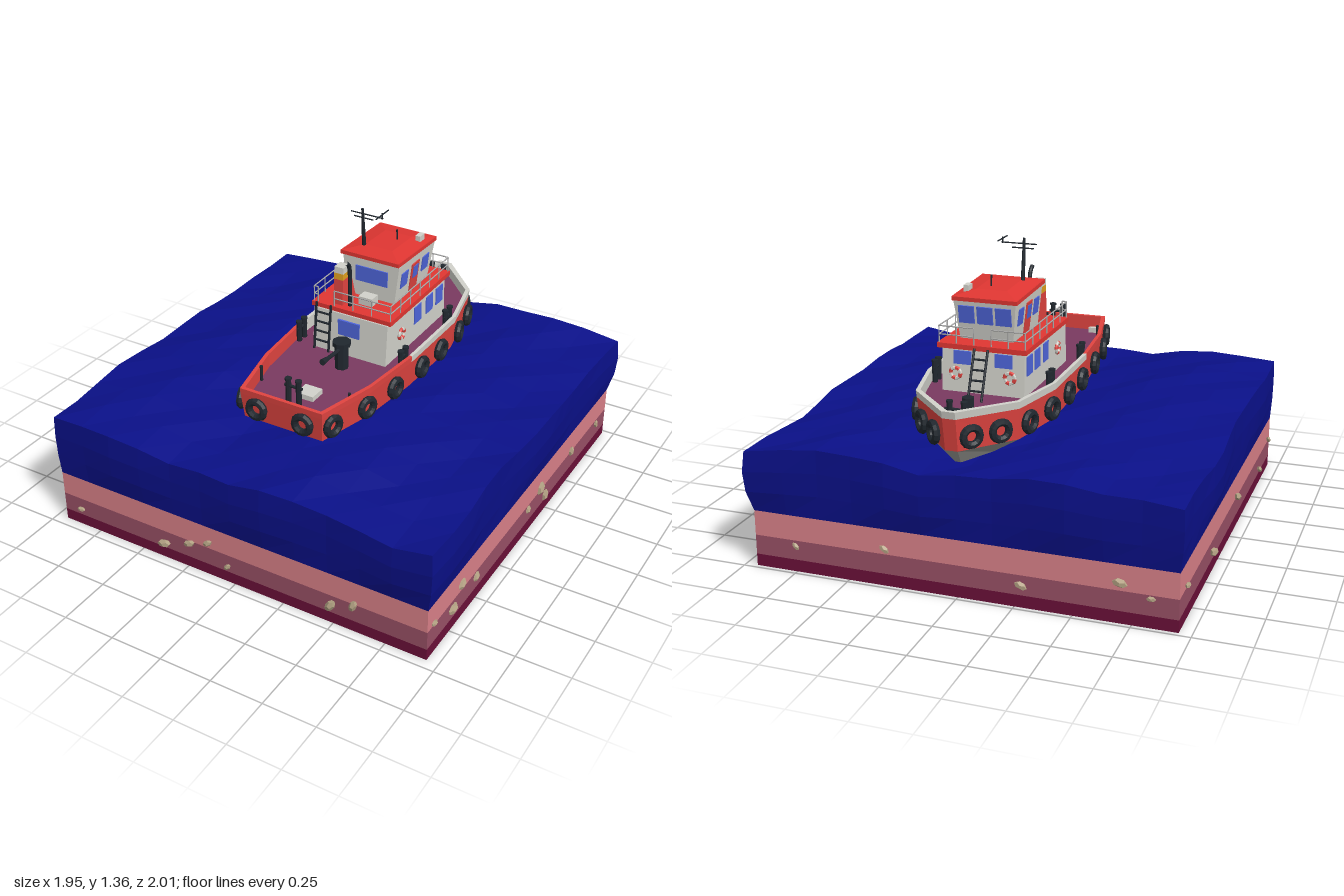
import * as THREE from 'three';

const mat = (color) => new THREE.MeshStandardMaterial({ color, flatShading: true });
const M = {
  water: mat(0x0a1088), sand: mat(0xd98088), clay: mat(0x985065), bed: mat(0x6a1038), rock: mat(0xb3a283),
  red: mat(0xe04440), roof: mat(0xe03632), white: mat(0xd2d2cb), hull: mat(0x9a9a94), deck: mat(0x7a3a60),
  dark: mat(0x20272e), glass: mat(0x4f66dc), orange: mat(0xe0a020), rail: mat(0xa8a8a8),
};
const CX = 0.062; // boat centreline
const V = (x, y, z) => new THREE.Vector3(x, y, z);

export function createModel() {
  const root = new THREE.Group();
  const add = (name, geo, m, x = 0, y = 0, z = 0, parent = root) => {
    const mesh = new THREE.Mesh(geo, m);
    mesh.name = name;
    mesh.position.set(x, y, z);
    parent.add(mesh);
    return mesh;
  };
  const box = (name, m, w, h, d, x, y, z) => add(name, new THREE.BoxGeometry(w, h, d), m, x, y, z);
  const rod = (name, m, a, b, r, r2 = r) => {
    const mesh = add(name, new THREE.CylinderGeometry(r2, r, a.distanceTo(b), 8), m);
    mesh.position.copy(a).lerp(b, 0.5);
    mesh.quaternion.setFromUnitVectors(V(0, 1, 0), b.clone().sub(a).normalize());
    return mesh;
  };
  // Box whose bottom and top rectangles differ: each is [x0, x1, z0, z1]
  const taper = (name, m, y0, y1, bot, top) => {
    const g = new THREE.BoxGeometry(1, 1, 1), p = g.attributes.position;
    for (let i = 0; i < p.count; i++) {
      const up = p.getY(i) > 0, r = up ? top : bot;
      p.setXYZ(i, r[p.getX(i) > 0 ? 1 : 0], up ? y1 : y0, r[p.getZ(i) > 0 ? 3 : 2]);
    }
    g.computeVertexNormals();
    return add(name, g, m);
  };

  // Layered ground
  const layer = (name, m, y0, y1) => box(name, m, 1.89, y1 - y0, 1.933, 0, (y0 + y1) / 2, -0.013);
  layer('seabedBottom', M.bed, 0, 0.055);
  layer('seabedMiddle', M.clay, 0.055, 0.145);
  layer('seabedTop', M.sand, 0.145, 0.26);

  // Water block with waves on top and bulging sides
  const wg = new THREE.BoxGeometry(1.89, 1, 1.933, 12, 3, 12), wp = wg.attributes.position;
  for (let i = 0; i < wp.count; i++) {
    const x = wp.getX(i), z = wp.getZ(i), t = wp.getY(i) + 0.5;
    const top = 0.568 + 0.02 * Math.cos(6.6 * (x + 0.54) + z) + 0.018 * Math.cos(3.3 * (z - 0.3))
      + 0.008 * Math.sin(17 * x + 11 * z);
    const bulge = t * (1.3 - t) * 0.045 * (1 + 0.6 * Math.sin(9 * x + 7 * z));
    const sx = Math.abs(x) > 0.94 ? Math.sign(x) * bulge : 0;
    const sz = Math.abs(z) > 0.96 ? Math.sign(z) * bulge : 0;
    wp.setXYZ(i, x + sx, 0.26 + t * (top - 0.26), z + sz - 0.013);
  }
  wg.computeVertexNormals();
  add('water', wg, M.water);

  // Stones along the four ground faces
  const rock = (x, y, z, i, alongX) => {
    const s = 0.014 + 0.006 * ((i * 7) % 4) / 2;
    const r = add('stone', new THREE.DodecahedronGeometry(s), M.rock, x, y, z);
    r.scale.set(alongX ? 1.5 : 0.8, 0.85, alongX ? 0.8 : 1.5);
    r.rotation.set(alongX ? 0 : 0.2 * i, 0, alongX ? 0.2 * i : 0);
  };
  [[-0.83, 0.11], [-0.36, 0.1], [-0.22, 0.155], [-0.12, 0.195], [-0.02, 0.105], [0.5, 0.115], [0.61, 0.16]]
    .forEach(([x, y], i) => rock(x, y, 0.98, i, true));
  [[0.9, 0.16], [0.73, 0.11], [0.65, 0.185], [0.51, 0.125], [-0.03, 0.13], [-0.165, 0.165], [-0.225, 0.09], [-0.53, 0.155], [-0.85, 0.13]]
    .forEach(([z, y], i) => rock(0.95, y, z, i, false));
  [[-0.83, 0.13], [-0.7, 0.18], [-0.28, 0.1], [0.33, 0.17], [0.75, 0.12]].forEach(([x, y], i) => rock(x, y, -0.982, i, true));
  [[-0.89, 0.17], [-0.4, 0.1], [0.1, 0.16], [0.65, 0.09], [0.87, 0.17]].forEach(([z, y], i) => rock(-0.957, y, z, i, false));

  // Hull: rows of the plan outline [half width, z], joined by strips
  const plan = [[0.03, -0.9], [0.235, -0.69], [0.3, -0.41], [0.302, 0.03], [0.275, 0.35], [0.207, 0.65]];
  const row = (f, zBow, zStern, yBow, yStern, inset = 0) => {
    const half = plan.map(([w, z]) => {
      const t = (z + 0.9) / 1.55;
      return V(Math.max(w * f - inset, 0), yBow + t * (yStern - yBow), zBow + t * (zStern - zBow));
    });
    const all = [...half, ...half.slice().reverse().map((p) => V(-p.x, p.y, p.z))];
    all.forEach((p) => { p.x += CX; });
    return all;
  };
  const strip = (name, m, a, b, keep = () => true) => {
    const pts = [];
    a.forEach((p, i) => {
      const j = (i + 1) % a.length;
      if (keep((i <= 2 || i >= 8))) pts.push(p, b[i], b[j], p, b[j], a[j]);
    });
    const g = new THREE.BufferGeometry().setFromPoints(pts);
    g.computeVertexNormals();
    add(name, g, m);
  };
  const keel = row(0.42, -0.8, 0.36, 0.53, 0.56);
  const chine = row(0.95, -0.87, 0.635, 0.605, 0.658);
  const belt = row(0.995, -0.893, 0.648, 0.752, 0.778);
  const top = row(1, -0.9, 0.65, 0.785, 0.805);
  const inner = row(1, -0.88, 0.632, 0.785, 0.805, 0.016);
  const edge = row(1, -0.88, 0.632, 0.735, 0.735, 0.016);
  strip('lowerHull', M.hull, keel, chine);
  strip('hullSide', M.red, chine, belt);
  [['bowBulwark', M.white, (f) => f], ['sternBulwark', M.red, (f) => !f]].forEach(([name, m, keep]) => {
    strip(name, m, belt, top, keep);
    strip(name + 'Cap', m, top, inner, keep);
    strip(name + 'Inside', m, inner, edge, keep);
  });
  strip('deck', M.deck, edge, row(0, -0.88, 0.632, 0.735, 0.735));

  // Tyre fenders, turned to follow the hull side
  const tyre = (x, y, z, turn) => {
    add('tyreFender', new THREE.TorusGeometry(0.038, 0.017, 7, 14), M.dark, x, y, z).rotation.y = turn;
  };
  for (const z of [0.595, 0.385, 0.175, -0.055, -0.245, -0.45, -0.625, -0.755, -0.85]) {
    const k = Math.max(1, plan.findIndex((p) => p[1] > z)), [w0, z0] = plan[k - 1], [w1, z1] = plan[k];
    const w = w0 + (w1 - w0) * (z - z0) / (z1 - z0), n = new THREE.Vector2(z1 - z0, w0 - w1).normalize();
    for (const s of [1, -1]) {
      tyre(CX + s * (w + n.x * 0.01), 0.69 + 0.035 * (z + 0.4), z + n.y * 0.01, Math.atan2(s * n.x, n.y));
    }
  }
  for (const x of [-0.055, 0.177]) tyre(x, 0.73, 0.662, 0);

  // Deckhouse with its red roof deck
  taper('deckhouse', M.white, 0.735, 0.935, [-0.125, 0.255, -0.5, 0.08], [-0.125, 0.255, -0.49, 0.065]);
  box('deckhouseRoof', M.roof, 0.41, 0.022, 0.58, CX, 0.945, -0.232);
  for (const s of [1, -1]) {
    for (const z of [-0.22, -0.335, -0.435]) box('cabinWindow', M.glass, 0.01, 0.085, 0.065, 0.065 + s * 0.19, 0.868, z);
  }
  box('cabinRearWindow', M.glass, 0.11, 0.075, 0.012, 0.06, 0.87, 0.071);
  for (const x of [-0.03, 0.16]) box('cabinFrontWindow', M.glass, 0.08, 0.06, 0.012, x, 0.89, -0.492);

  // Life rings
  const lifeRing = (x, y, z, turn) => {
    const g = new THREE.Group();
    g.name = 'lifeRing';
    g.position.set(x, y, z);
    g.rotation.y = turn;
    root.add(g);
    add('ringBody', new THREE.TorusGeometry(0.023, 0.008, 6, 16), M.white, 0, 0, 0, g);
    for (let i = 0; i < 4; i++) {
      add('ringBand', new THREE.TorusGeometry(0.023, 0.009, 6, 4, 0.75), M.red, 0, 0, 0, g).rotation.z = i * Math.PI / 2;
    }
  };
  for (const x of [-0.06, 0.19]) lifeRing(x, 0.82, -0.502, 0);
  for (const s of [1, -1]) lifeRing(0.065 + s * 0.195, 0.84, -0.06, Math.PI / 2);

  // Wheelhouse, flaring upward
  const WX = 0.075;
  taper('wheelhouse', M.white, 0.95, 1.145, [WX - 0.122, WX + 0.122, -0.42, -0.1], [WX - 0.145, WX + 0.145, -0.45, -0.1]);
  const wheelRoof = new THREE.Group();
  wheelRoof.name = 'wheelhouseRoof';
  wheelRoof.add(
    taper('roofSlab', M.roof, -0.008, 0.01, [-0.15, 0.15, -0.185, 0.185], [-0.15, 0.15, -0.185, 0.185]),
    taper('roofCrown', M.roof, 0.01, 0.024, [-0.145, 0.145, -0.18, 0.18], [-0.07, 0.07, -0.09, 0.1]));
  wheelRoof.position.set(0.07, 1.148, -0.278);
  wheelRoof.rotation.x = -0.04;
  root.add(wheelRoof);
  for (const s of [1, -1]) {
    const side = (name, m, h, d, y, z, out) => {
      box(name, m, 0.01, h, d, WX + s * (0.122 + 0.118 * (y - 0.95) + out), y, z).rotation.z = -s * 0.118;
    };
    side('wheelhouseSideWindow', M.glass, 0.075, 0.06, 1.06, -0.165, 0);
    side('wheelhouseSideWindow', M.glass, 0.075, 0.06, 1.06, -0.365, 0);
    side('wheelhouseDoor', M.red, 0.15, 0.07, 1.03, -0.265, 0);
    side('doorWindow', M.glass, 0.06, 0.045, 1.06, -0.265, 0.003);
  }
  box('wheelhouseRearWindow', M.glass, 0.165, 0.075, 0.012, 0.08, 1.07, -0.1);
  for (const i of [-1, 0, 1]) {
    box('wheelhouseFrontWindow', M.glass, 0.072, 0.08, 0.012, WX + i * 0.085, 1.07, -0.439).rotation.x = -0.153;
  }

  // Funnel, exhaust pipe and roof box
  taper('funnel', M.red, 0.955, 1.08, [-0.045, 0.002, -0.09, 0.03], [-0.045, 0.002, -0.05, 0.025]);
  taper('funnelBand', M.orange, 1.08, 1.11, [-0.045, 0.002, -0.05, 0.025], [-0.045, 0.002, -0.04, 0.023]);
  taper('funnelTop', M.white, 1.11, 1.14, [-0.045, 0.002, -0.04, 0.023], [-0.045, 0.002, -0.03, 0.021]);
  const pipe = new THREE.CatmullRomCurve3([V(0.03, 0.95, 0.01), V(0.03, 1.12, 0.012), V(0.03, 1.165, 0.022), V(0.03, 1.185, 0.048)]);
  add('exhaustPipe', new THREE.TubeGeometry(pipe, 14, 0.01, 8), M.dark);
  box('roofBox', M.white, 0.07, 0.04, 0.055, 0.09, 0.975, -0.05);

  // Mast, aerials and searchlight
  rod('mast', M.dark, V(-0.005, 1.14, -0.18), V(-0.005, 1.36, -0.16), 0.011, 0.006);
  rod('mastCrossbar', M.dark, V(-0.065, 1.335, -0.162), V(0.1, 1.335, -0.162), 0.003);
  rod('mastCrossbar', M.dark, V(-0.05, 1.315, -0.163), V(0.05, 1.315, -0.163), 0.003);
  rod('aerialArm', M.dark, V(0.095, 1.352, -0.22), V(0.095, 1.352, -0.105), 0.003);
  rod('aerialPost', M.dark, V(0.095, 1.33, -0.162), V(0.095, 1.36, -0.162), 0.003);
  rod('whipAerial', M.dark, V(0.095, 1.15, -0.31), V(0.095, 1.22, -0.305), 0.004);
  box('searchlight', M.white, 0.025, 0.035, 0.045, 0.178, 1.17, -0.375);

  // Roof railings, open at the two ladders
  const path = [[-0.03, 0.048], [0.26, 0.048], [0.26, -0.512], [0.1, -0.512]];
  const path2 = [[-0.115, 0.048], [-0.135, 0.048], [-0.135, -0.512], [0.02, -0.512]];
  for (const run of [path, path2]) {
    for (let i = 0; i < 3; i++) {
      const [x0, z0] = run[i], [x1, z1] = run[i + 1];
      for (const y of [0.992, 1.03]) rod('railing', M.rail, V(x0, y, z0), V(x1, y, z1), 0.003);
      const n = Math.max(1, Math.round(Math.hypot(x1 - x0, z1 - z0) / 0.1));
      for (let k = i ? 1 : 0; k <= n; k++) {
        const x = x0 + (x1 - x0) * k / n, z = z0 + (z1 - z0) * k / n;
        rod('railPost', M.rail, V(x, 0.95, z), V(x, 1.03, z), 0.003);
      }
    }
  }

  // Ladders
  const ladder = (name, x0, x1, yTop, zTop, zFoot) => {
    for (const x of [x0, x1]) rod(name + 'Rail', M.dark, V(x, 0.735, zFoot), V(x, yTop, zTop), 0.006);
    for (let i = 1; i < 5; i++) {
      const t = i / 5, y = 0.735 + t * (yTop - 0.735), z = zFoot + t * (zTop - zFoot);
      rod(name + 'Rung', M.dark, V(x0, y, z), V(x1, y, z), 0.005);
    }
  };
  ladder('rearLadder', -0.11, -0.035, 0.965, 0.07, 0.095);
  ladder('frontLadder', 0.03, 0.092, 0.945, -0.525, -0.61);

  // Water cannon
  rod('cannonBase', M.dark, V(0.085, 0.735, 0.178), V(0.085, 0.85, 0.178), 0.032);
  rod('cannonHead', M.dark, V(0.085, 0.85, 0.178), V(0.085, 0.87, 0.178), 0.043);
  rod('cannonBarrel', M.dark, V(0.085, 0.835, 0.2), V(0.085, 0.842, 0.325), 0.009);
  rod('cannonNozzle', M.dark, V(0.085, 0.842, 0.305), V(0.085, 0.845, 0.345), 0.011, 0.015);

  // Mooring bitts: two posts and a bar
  const bitt = (x, z, dx, dz, h) => {
    for (const s of [1, -1]) {
      rod('bittPost', M.dark, V(x + s * dx, 0.735, z + s * dz), V(x + s * dx, h, z + s * dz), 0.013);
      rod('bittCap', M.dark, V(x + s * dx, h, z + s * dz), V(x + s * dx, h + 0.008, z + s * dz), 0.016);
    }
    rod('bittBar', M.dark, V(x - dx * 1.7, h - 0.03, z - dz * 1.7), V(x + dx * 1.7, h - 0.03, z + dz * 1.7), 0.007);
  };
  bitt(0.075, 0.565, 0.026, 0, 0.865);
  bitt(0.055, -0.82, 0.032, 0, 0.8);
  for (const s of [1, -1]) for (const z of [-0.385, 0.05]) bitt(CX + s * 0.267, z, 0, 0.022, 0.83);
  for (const s of [1, -1]) rod('sternPost', M.dark, V(CX + s * 0.225, 0.735, 0.455), V(CX + s * 0.225, 0.81, 0.455), 0.007);

  // Deck fittings
  rod('capstan', M.dark, V(0.05, 0.735, -0.71), V(0.05, 0.79, -0.71), 0.027);
  box('deckHatch', M.white, 0.085, 0.025, 0.08, 0.085, 0.747, 0.455);
  box('deckLocker', M.white, 0.04, 0.025, 0.025, -0.1, 0.747, 0.59);
  return root;
}
